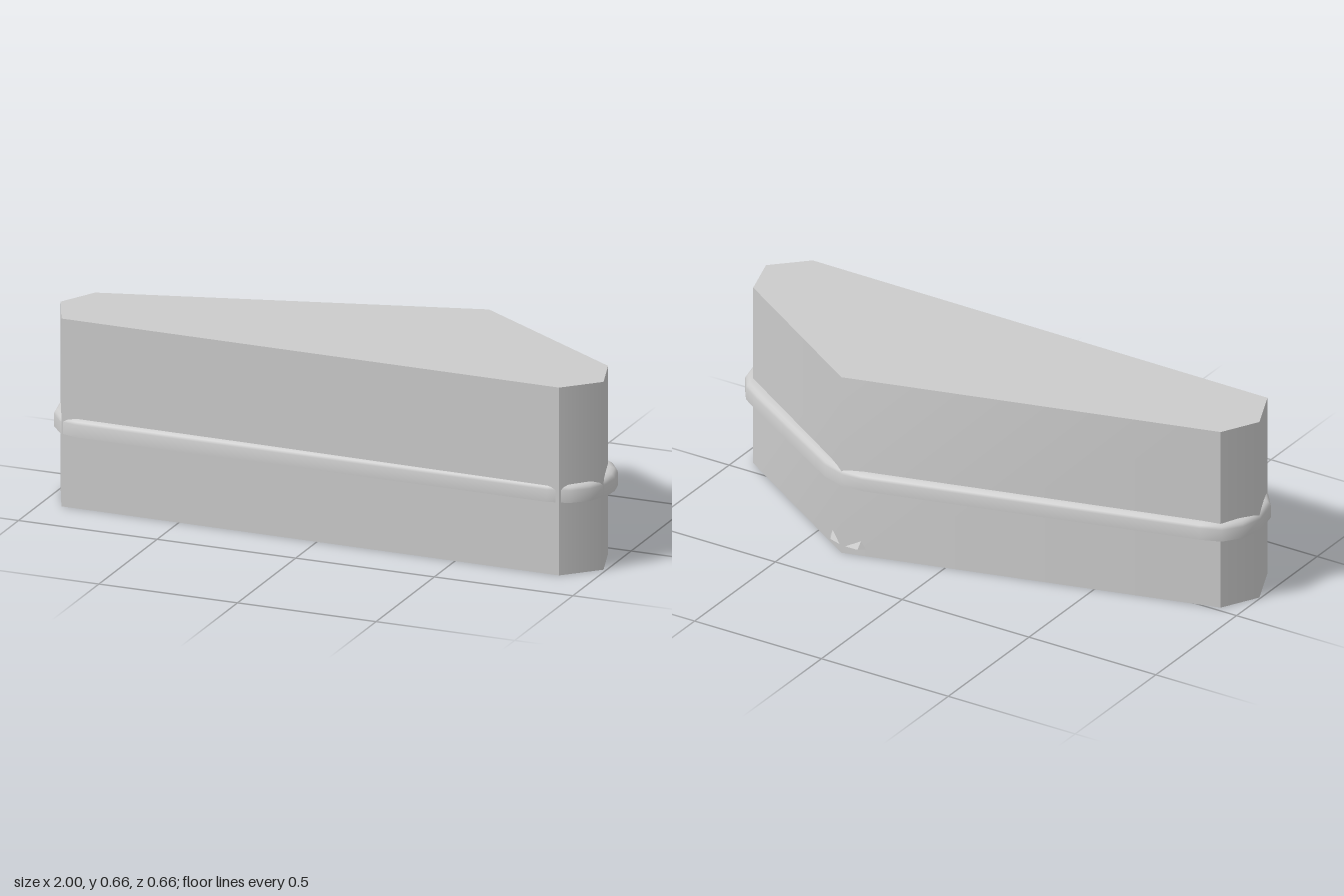
import * as THREE from 'three';
import { toCreasedNormals } from 'three/addons/utils/BufferGeometryUtils.js';
import { ConvexGeometry } from 'three/addons/geometries/ConvexGeometry.js';

const HEIGHT = 0.66;
const material = new THREE.MeshStandardMaterial({ color: 0xcccccc });

// Plan outline of the body as [x, z], running left end, back, right end, front
const OUTLINE = [
  [-0.925, 0.02], [0.35, -0.327], [0.94, 0.055], [0.99, 0.213],
  [0.877, 0.325], [-0.925, 0.31], [-0.995, 0.15],
];

// Rounded plan outline of the band
const BAND = [
  [-1, 0.15], [-0.982, 0.07], [-0.935, 0.01], [-0.865, -0.018],
  [0.27, -0.328], [0.345, -0.332], [0.43, -0.305], [0.875, -0.03],
  [0.945, 0.018], [0.985, 0.075], [1, 0.14], [0.995, 0.2],
  [0.965, 0.265], [0.91, 0.313], [0.835, 0.332], [-0.865, 0.325],
  [-0.93, 0.307], [-0.98, 0.245],
];

// Surface through rows of [x, y, z] points, listed from bottom to top
function skin(rows) {
  const n = rows[0].length;
  const index = [];
  for (let r = 0; r < rows.length - 1; r++) {
    for (let i = 0; i < n - 1; i++) {
      const a = r * n + i, A = a + n;
      index.push(a, A, a + 1, a + 1, A, A + 1);
    }
  }
  const geometry = new THREE.BufferGeometry();
  geometry.setAttribute('position', new THREE.Float32BufferAttribute(rows.flat(2), 3));
  geometry.setIndex(index);
  geometry.computeVertexNormals();
  return geometry;
}

// Closed loop moved inward by a distance and lifted to height y
function insetLoop(points, inset, y) {
  const n = points.length;
  const loop = points.map(([x, z], i) => {
    const p = points[(i + n - 1) % n], q = points[(i + 1) % n];
    const d = new THREE.Vector2(q[0] - p[0], q[1] - p[1]).normalize();
    return [x - d.y * inset, y, z + d.x * inset];
  });
  return [...loop, loop[0]];
}

function createBody() {
  const body = new THREE.Group();
  body.name = 'body';
  const add = (name, geometry) => {
    const mesh = new THREE.Mesh(geometry, material);
    mesh.name = name;
    body.add(mesh);
    return mesh;
  };
  // Each wall is smooth along its run and meets the next at a sharp edge
  const walls = { backWall: [0, 1, 2], leftEnd: [2, 3, 4], frontWall: [4, 5], rightEnd: [5, 6, 0] };
  for (const [name, run] of Object.entries(walls)) {
    add(name, skin([0, HEIGHT].map((y) => run.map((i) => [OUTLINE[i][0], y, OUTLINE[i][1]]))));
  }
  const flat = (sign) => new THREE.ShapeGeometry(
    new THREE.Shape(OUTLINE.map(([x, z]) => new THREE.Vector2(x, sign * z))));
  add('topFace', flat(-1).rotateX(-Math.PI / 2)).position.y = HEIGHT;
  add('bottomFace', flat(1).rotateX(Math.PI / 2));
  return body;
}

function createBand() {
  // [inset, height]: flat underside, upright edge, rounded shoulder
  const profile = [[0.07, 0.255], [0, 0.255], [0, 0.298], [0.004, 0.307], [0.012, 0.314], [0.025, 0.318], [0.06, 0.319]];
  const geometry = skin(profile.map(([inset, y]) => insetLoop(BAND, inset, y)));
  const band = new THREE.Mesh(toCreasedNormals(geometry, 0.7), material);
  band.name = 'band';
  return band;
}

// Small wedge beside the rear corner, running towards the given outline point
function createWedge(name, target) {
  const corner = new THREE.Vector3(OUTLINE[1][0], 0, OUTLINE[1][1]);
  const along = new THREE.Vector3(target[0], 0, target[1]).sub(corner).normalize();
  const out = new THREE.Vector3(along.z, 0, -along.x);
  if (out.z > 0) out.negate();
  const at = (s, y, o) => corner.clone().addScaledVector(along, s).addScaledVector(out, o).setY(y);
  const wedge = new THREE.Mesh(new ConvexGeometry([
    at(0.005, 0.026, -0.002), at(0.09, 0.026, -0.002), at(0.07, 0.058, -0.002), at(0.06, 0.026, 0.012),
  ]), material);
  wedge.name = name;
  return wedge;
}

export function createModel() {
  const model = new THREE.Group();
  model.name = 'bandedBlock';
  model.add(createBody(), createBand());
  model.add(createWedge('leftWedge', OUTLINE[2]), createWedge('rightWedge', OUTLINE[0]));
  return model;
}
